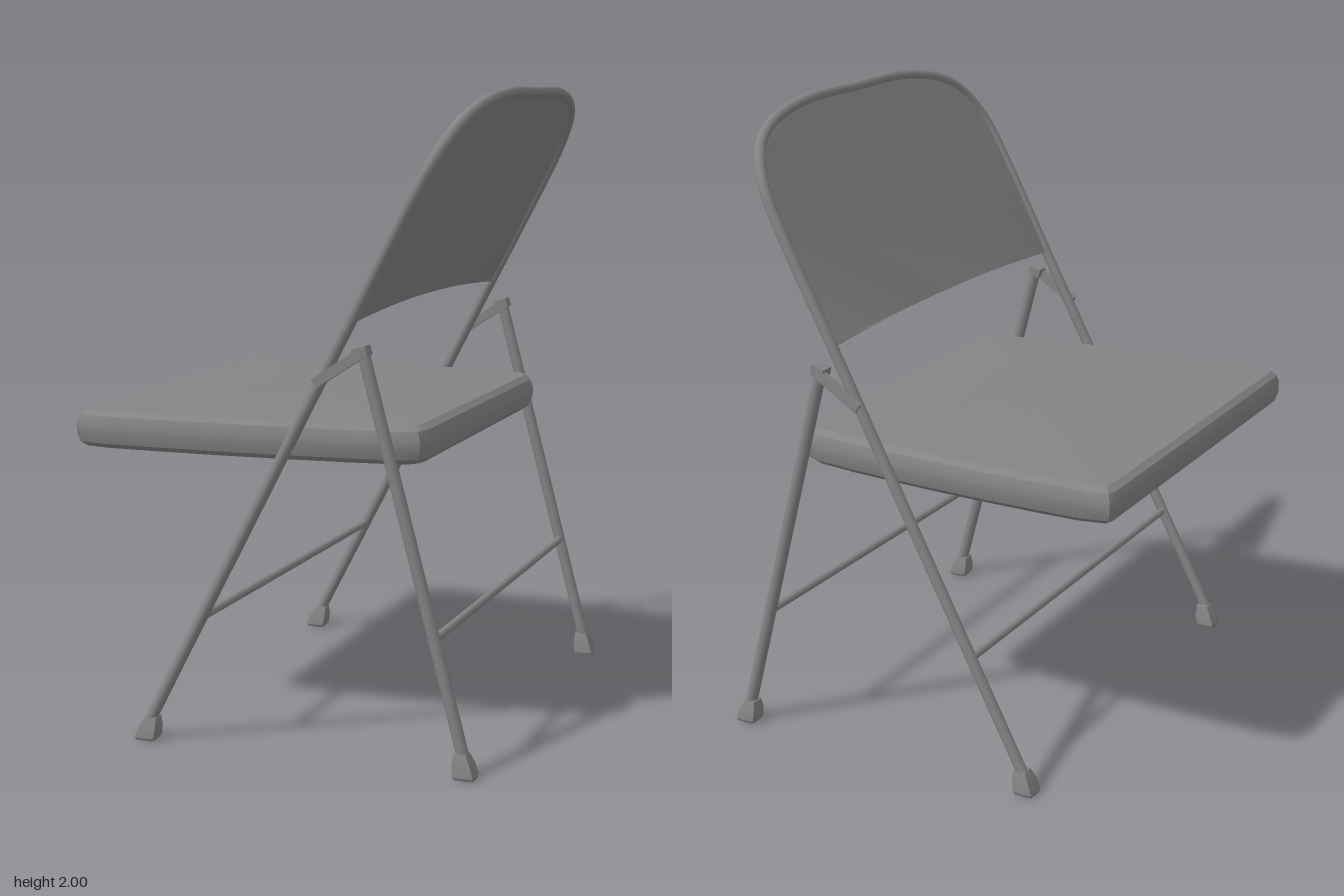
import * as THREE from 'three';
import { toCreasedNormals } from 'three/addons/utils/BufferGeometryUtils.js';

const COLOR = 0x848484;
const material = new THREE.MeshStandardMaterial({ color: COLOR });
const doubleSided = new THREE.MeshStandardMaterial({ color: COLOR, side: THREE.DoubleSide });
const UP = new THREE.Vector3(0, 1, 0);

// The chair faces -x; the front legs and backrest share one sloping plane.
const slopeX = y => -0.4 + (y - 0.05) * 0.5205;
const rearX = y => 0.625 - (y - 0.04) * 0.266;

// Right half of the frame's bend, as [z, y]
const bend = [[0.692, 1.7], [0.676, 1.79], [0.615, 1.885], [0.54, 1.93], [0.45, 1.957], [0.27, 1.981]];
const arch = [...bend, [0, 1.982], ...bend.map(([z, y]) => [-z, y]).reverse()];

function createModel() {
  const chair = new THREE.Group();
  const add = (name, geometry, mat = material) => {
    const mesh = new THREE.Mesh(geometry, mat);
    mesh.name = name;
    chair.add(mesh);
    return mesh;
  };

  // Straight round bar between two points
  const bar = (name, a, b, radius) => {
    const from = new THREE.Vector3(...a), to = new THREE.Vector3(...b);
    const dir = to.clone().sub(from);
    const mesh = add(name, new THREE.CylinderGeometry(radius, radius, dir.length(), 12));
    mesh.position.copy(from).add(to).multiplyScalar(0.5);
    mesh.quaternion.setFromUnitVectors(UP, dir.normalize());
  };

  // Bent tube: front legs and backrest outline in one piece
  const path = [[0.708, 0.04], [0.704, 0.6], [0.696, 1.3], ...arch, [-0.696, 1.3], [-0.704, 0.6], [-0.708, 0.04]]
    .map(([z, y]) => new THREE.Vector3(slopeX(y), y, z));
  add('mainFrame', new THREE.TubeGeometry(new THREE.CatmullRomCurve3(path, false, 'centripetal'), 120, 0.018, 10));

  // Back panel with an arched lower edge, laid into the frame's slope
  const outline = new THREE.Shape();
  outline.moveTo(-0.694, 1.32);
  outline.quadraticCurveTo(0, 1.372, 0.694, 1.32);
  outline.splineThru(arch.map(([z, y]) => new THREE.Vector2(z, y)));
  outline.closePath();
  const panel = new THREE.ExtrudeGeometry(outline, { depth: 0.012, bevelEnabled: false, curveSegments: 16 });
  const p = panel.attributes.position;
  for (let i = 0; i < p.count; i++) {
    const z = -p.getX(i), y = p.getY(i);
    const bow = 0.015 * (1 - (z / 0.694) ** 2) * Math.max(0, 1.98 - y) / 0.65;
    p.setXYZ(i, slopeX(y) - 0.006 + p.getZ(i) - bow, y, z);
  }
  add('backPanel', toCreasedNormals(panel, 0.6), doubleSided);

  add('seat', seatGeometry());

  // Rear legs, hinge links and feet on both sides
  const frontFoot = footGeometry(0.25), rearFoot = footGeometry(-0.2);
  for (const side of [1, -1]) {
    bar('rearLeg', [rearX(0.04), 0.04, side * 0.697], [rearX(1.25), 1.25, side * 0.697], 0.019);

    const link = add('hingeLink', new THREE.BoxGeometry(0.175, 0.03, 0.022));
    link.position.set(0.235, 1.194, side * 0.715);
    link.rotation.z = 0.58;
    const cap = add('hingeCap', new THREE.BoxGeometry(0.044, 0.03, 0.046));
    cap.position.set(0.303, 1.243, side * 0.702);
    cap.rotation.z = 0.26;

    add('frontFoot', frontFoot).position.set(-0.405, 0, side * 0.703);
    add('rearFoot', rearFoot).position.set(0.628, 0, side * 0.697);
  }

  // Crossbars
  bar('frontCrossbar', [slopeX(0.41), 0.41, -0.7], [slopeX(0.41), 0.41, 0.7], 0.013);
  bar('rearCrossbar', [rearX(0.41), 0.41, -0.695], [rearX(0.41), 0.41, 0.695], 0.013);
  return chair;
}

// Squarish tapered foot, leaning along its leg
function footGeometry(lean) {
  const profile = [[0, 0.003], [0.03, 0.003], [0.034, 0.012], [0.031, 0.045], [0.021, 0.078], [0, 0.08]]
    .map(([r, y]) => new THREE.Vector2(r, y));
  const geometry = new THREE.LatheGeometry(profile, 8);
  const p = geometry.attributes.position;
  for (let i = 0; i < p.count; i++) {
    const x = p.getX(i), y = p.getY(i), z = p.getZ(i);
    const square = Math.min(Math.abs(x), Math.abs(z)) > 0.005 ? 1.28 : 1;
    p.setXYZ(i, x * square + y * lean, y, z * square);
  }
  return toCreasedNormals(geometry, 0.5);
}

// Padded seat: stacked outlines with a softly bulging edge
function seatGeometry() {
  const half = [[-0.66, 0.64], [-0.65, 0.668], [-0.57, 0.684], [-0.4, 0.684], [-0.2, 0.678], [0, 0.666],
    [0.25, 0.643], [0.4, 0.62], [0.445, 0.598], [0.46, 0.555]];
  const loop = [...half, ...half.map(([x, z]) => [x, -z]).reverse()];
  // [height, inset]; an inset of 1 closes the cap
  const layers = [[0.9, 1], [0.9, 0.025], [0.915, 0.008], [0.945, 0], [0.975, 0],
    [1.0, 0.008], [1.016, 0.025], [1.025, 0.2], [1.026, 1]];
  const n = loop.length, cx = -0.1, positions = [], index = [];
  for (const [y, inset] of layers) {
    const kx = inset === 1 ? 0 : 1 - inset / 0.56;
    const kz = inset === 1 ? 0 : 1 - inset / 0.67;
    for (const [x, z] of loop) positions.push(cx + (x - cx) * kx, y, z * kz);
  }
  for (let l = 0; l < layers.length - 1; l++) {
    for (let i = 0; i < n; i++) {
      const a = l * n + i, b = l * n + (i + 1) % n;
      index.push(a, b, a + n, b, b + n, a + n);
    }
  }
  const geometry = new THREE.BufferGeometry();
  geometry.setAttribute('position', new THREE.Float32BufferAttribute(positions, 3));
  geometry.setIndex(index);
  return toCreasedNormals(geometry, 0.5);
}

export { createModel };
